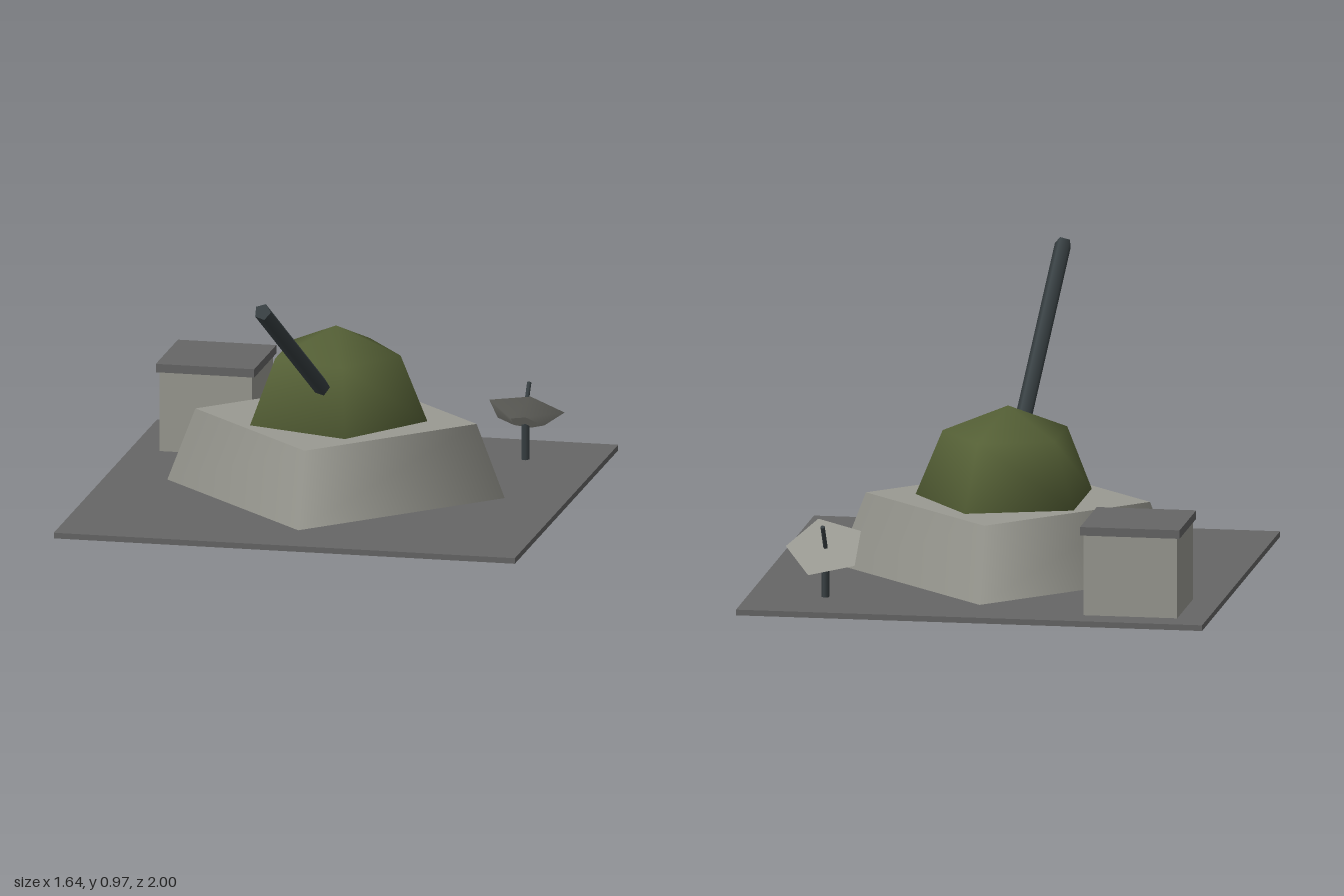
import * as THREE from 'three';

const material = (name, color) => {
  const m = new THREE.MeshStandardMaterial({ color });
  m.name = name;
  return m;
};

export function createModel() {
  const model = new THREE.Group();
  model.name = 'gunEmplacement';

  const slabGrey = material('slab grey', 0x666666);
  const concrete = material('concrete', 0x9a9a92);
  const olive = material('olive green', 0x556036);
  const gunmetal = material('gunmetal', 0x394144);

  const add = (name, geometry, mat, x, y, z, tilt = 0) => {
    const mesh = new THREE.Mesh(geometry, mat);
    mesh.name = name;
    mesh.position.set(x, y, z);
    mesh.rotation.x = tilt;
    model.add(mesh);
    return mesh;
  };
  // Few-sided prism or frustum with one corner pointing to +x
  const prism = (top, bottom, height, sides = 5) =>
    new THREE.CylinderGeometry(top, bottom, height, sides, 1, false, Math.PI / 2);
  const box = (w, h, d) => new THREE.BoxGeometry(w, h, d);

  const cz = -0.18; // turret axis

  // Ground slab and tapered pedestal
  add('groundSlab', box(1.64, 0.02, 1.64), slabGrey, 0, 0.01, cz);
  add('pedestal', prism(0.5, 0.6, 0.26, 4), concrete, 0, 0.15, cz);

  // Five-sided turret dome
  const dome = new THREE.SphereGeometry(0.325, 5, 2, Math.PI, Math.PI * 2, 0, Math.PI / 2);
  add('turretDome', dome, olive, 0, 0.28, cz);

  // Barrel, from inside the dome to the muzzle
  const start = new THREE.Vector3(0, 0.32, cz);
  const end = new THREE.Vector3(0, 0.942, 0.986);
  const mid = start.clone().lerp(end, 0.5);
  add('barrel', prism(0.03, 0.03, start.distanceTo(end)), gunmetal,
    0, mid.y, mid.z, Math.atan2(end.z - start.z, end.y - start.y));

  // Equipment hut
  add('hutWalls', box(0.33, 0.285, 0.33), concrete, -0.55, 0.1625, -0.73);
  add('hutRoof', box(0.35, 0.03, 0.35), slabGrey, -0.55, 0.319, -0.73);

  // Dish antenna, tilted up and to the back
  const tilt = -0.63;
  const along = (d) => [0.55, 0.195 + d * Math.cos(tilt), -0.73 + d * Math.sin(tilt)];
  add('dishPost', prism(0.015, 0.015, 0.15), gunmetal, 0.55, 0.095, -0.73);
  add('dish', prism(0.14, 0.05, 0.045), concrete, ...along(-0.0225), tilt);
  add('dishFeed', prism(0.008, 0.008, 0.11), gunmetal, ...along(0.05), tilt);

  return model;
}
